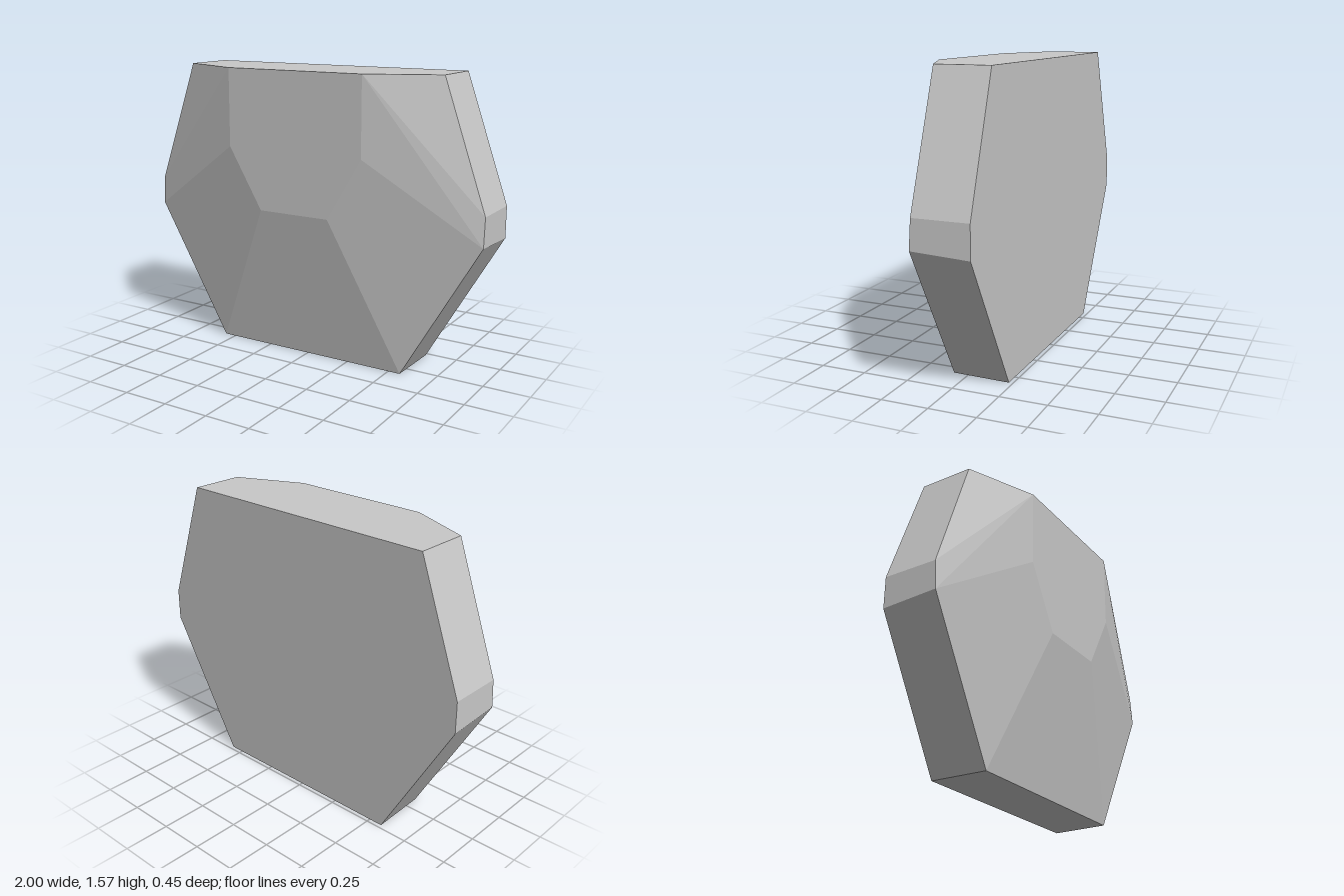
import * as THREE from 'three';
import { ConvexGeometry } from 'three/addons/geometries/ConvexGeometry.js';

export function createModel() {
  const group = new THREE.Group();
  group.name = 'facetedSlab';
  const stone = new THREE.MeshStandardMaterial({ color: 0xc8c8c8 });
  stone.name = 'light grey';

  // corners of one half, [x, y, z]
  const half = [
    // raised front plateau
    [0.4, 1.57, 0.225], [0.4, 1.15, 0.225], [0.205, 0.82, 0.225],
    // front rim
    [0.765, 1.57, 0.065], [1, 0.9, 0.07], [1, 0.745, 0.08], [0.567, 0, 0.08],
    // flat back, its lower sides a little wider than the rim
    [0.765, 1.57, -0.228], [1, 0.9, -0.228], [1, 0.73, -0.228], [0.577, 0, -0.228],
  ];

  // mirror the half and wrap the corners in flat facets
  const points = half.flatMap(([x, y, z]) => [
    new THREE.Vector3(x, y, z),
    new THREE.Vector3(-x, y, z),
  ]);
  const slab = new THREE.Mesh(new ConvexGeometry(points), stone);
  slab.name = 'slab';
  group.add(slab);
  return group;
}
